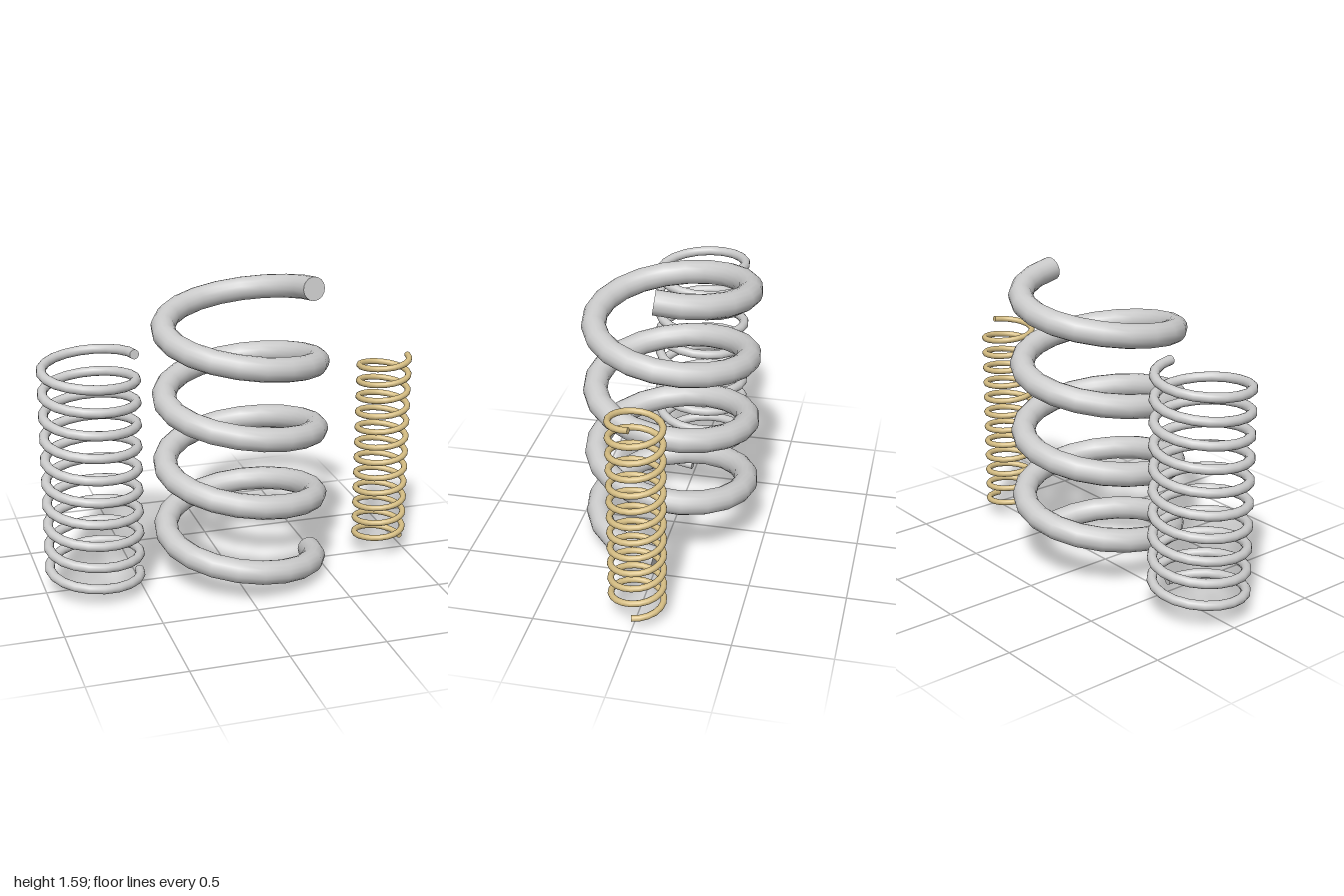
import * as THREE from 'three';

const STEPS = 20; // segments per turn
const SIDES = 16; // sides of the wire

// Flat disc closing one end of the wire
function endCap(name, point, normal, radius, material) {
  const cap = new THREE.Mesh(new THREE.CircleGeometry(radius, SIDES), material);
  cap.name = name;
  cap.position.copy(point);
  cap.quaternion.setFromUnitVectors(new THREE.Vector3(0, 0, 1), normal);
  return cap;
}

// Helical wire starting and ending on its +x side; hand is +1 or -1
function coilSpring({ name, x, radius, wire, bottom, top, turns, hand, color }) {
  const material = new THREE.MeshStandardMaterial({ color });
  const count = turns * STEPS;
  const points = [];
  for (let i = 0; i <= count; i++) {
    const a = (i / STEPS) * Math.PI * 2;
    points.push(new THREE.Vector3(
      radius * Math.cos(a),
      bottom + (top - bottom) * (i / count),
      hand * radius * Math.sin(a)
    ));
  }
  const path = new THREE.CatmullRomCurve3(points);
  path.arcLengthDivisions = count * 10;

  const spring = new THREE.Group();
  spring.name = name;
  spring.position.x = x;

  const coil = new THREE.Mesh(new THREE.TubeGeometry(path, count, wire, SIDES), material);
  coil.name = 'coil';
  spring.add(
    coil,
    endCap('bottomEnd', points[0], path.getTangentAt(0).negate(), wire, material),
    endCap('topEnd', points[count], path.getTangentAt(1), wire, material)
  );
  return spring;
}

export function createModel() {
  const model = new THREE.Group();
  model.name = 'springs';
  model.add(
    // Heavy spring in the middle
    coilSpring({ name: 'heavySpring', x: 0.055, radius: 0.396, wire: 0.0625,
      bottom: 0.063, top: 1.525, turns: 4, hand: 1, color: 0xcccccc }),
    // Medium spring on the right
    coilSpring({ name: 'mediumSpring', x: -0.738, radius: 0.237, wire: 0.025,
      bottom: 0.068, top: 1.26, turns: 10, hand: 1, color: 0xcccccc }),
    // Small brass spring on the left, wound the other way
    coilSpring({ name: 'brassSpring', x: 0.853, radius: 0.131, wire: 0.016,
      bottom: 0.07, top: 1.125, turns: 12, hand: -1, color: 0xd4bc82 })
  );
  return model;
}
